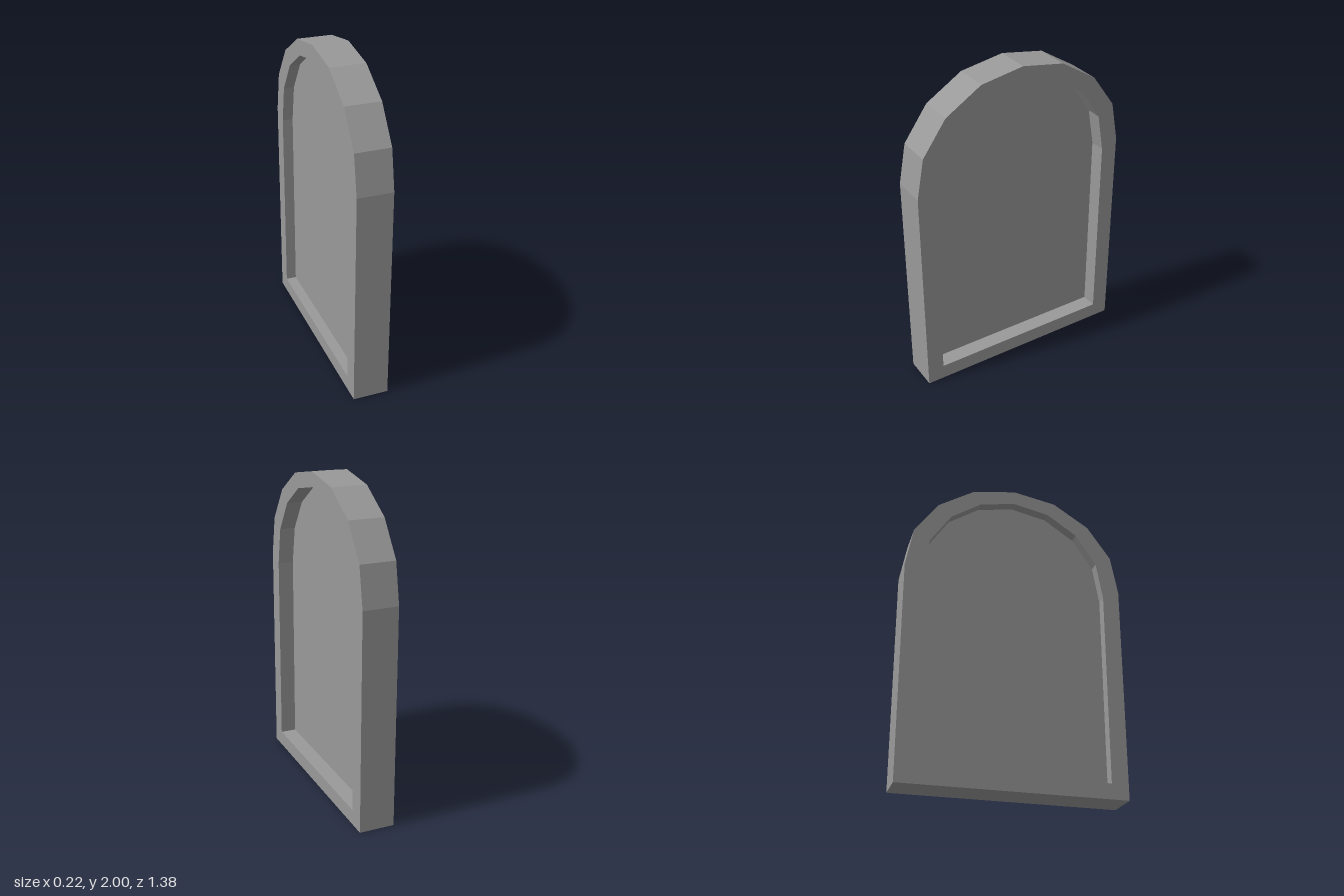
import * as THREE from 'three';

// Half outlines from bottom to arch shoulder: [half width, height]
const OUTER = [[0.692, 0], [0.692, 1.358], [0.646, 1.604], [0.497, 1.813], [0.27, 1.954]];
const INNER = [[0.586, 0.095], [0.586, 1.31], [0.545, 1.546], [0.415, 1.74], [0.224, 1.866]];

// Mirrors a half outline around its apex into a closed arch
function archPoints(half, apex) {
  const right = half.map(([x, y]) => new THREE.Vector2(x, y));
  const left = half.map(([x, y]) => new THREE.Vector2(-x, y)).reverse();
  return [...right, new THREE.Vector2(0, apex), ...left];
}

// Extrudes an arch along x, from x0 to x1
function slab(name, shape, x0, x1, material) {
  const geometry = new THREE.ExtrudeGeometry(shape, { depth: x1 - x0, bevelEnabled: false });
  geometry.translate(0, 0, x0);
  geometry.rotateY(Math.PI / 2);
  const mesh = new THREE.Mesh(geometry, material);
  mesh.name = name;
  return mesh;
}

export function createModel() {
  const grey = new THREE.MeshStandardMaterial({ color: 0x999999 });
  grey.name = 'grey';

  const group = new THREE.Group();
  group.name = 'archedWindow';

  // Arched surround with an open middle
  const frameShape = new THREE.Shape(archPoints(OUTER, 2));
  frameShape.holes.push(new THREE.Path(archPoints(INNER, 1.91)));
  group.add(slab('frame', frameShape, -0.11, 0.11, grey));

  // Thin pane, recessed deeper on the +x side
  const paneShape = new THREE.Shape(archPoints(INNER, 1.91));
  group.add(slab('pane', paneShape, -0.043, 0.01, grey));

  return group;
}
